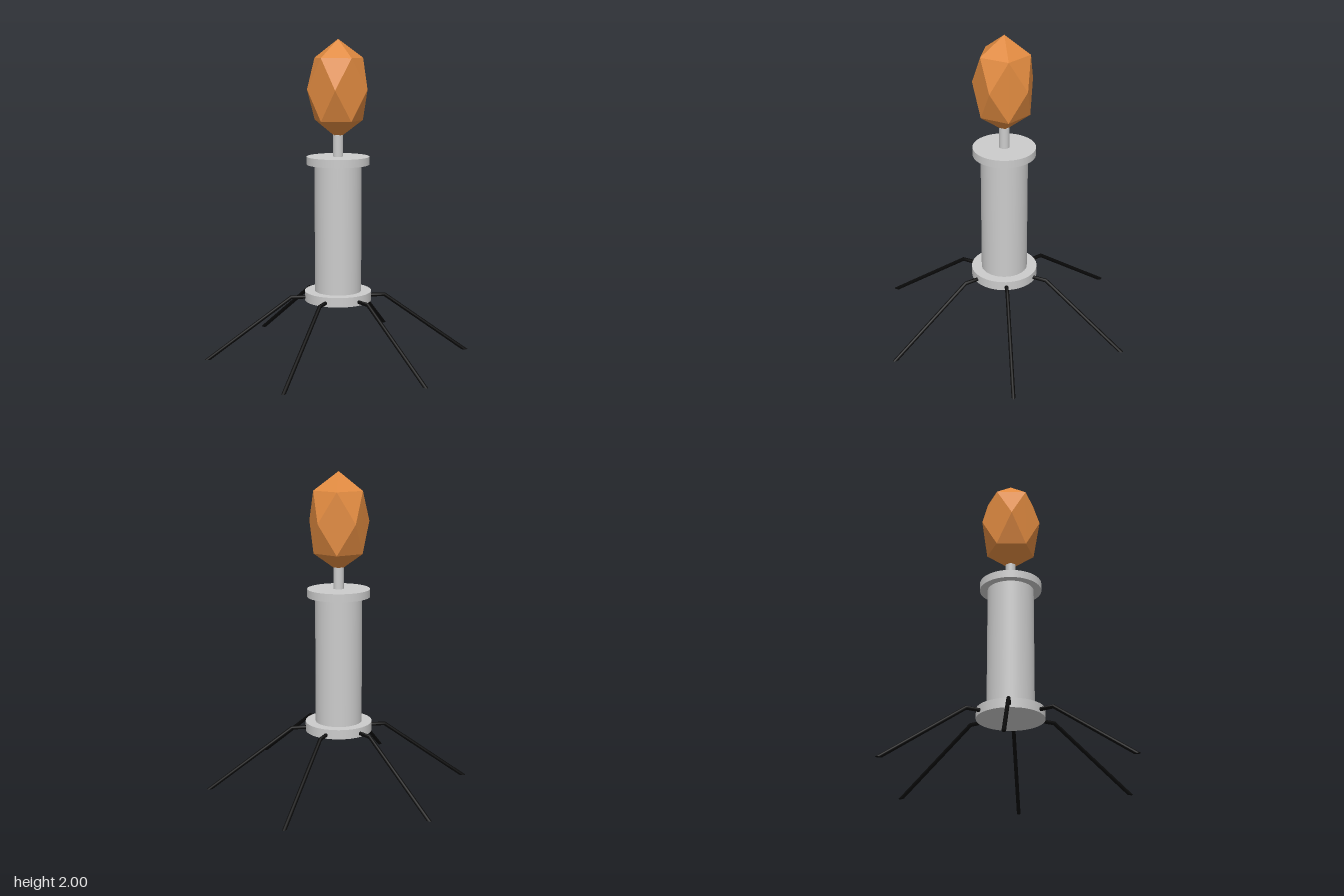
import * as THREE from 'three';
import { ConvexGeometry } from 'three/addons/geometries/ConvexGeometry.js';

const grey = new THREE.MeshStandardMaterial({ color: 0xcccccc });
const black = new THREE.MeshStandardMaterial({ color: 0x0a0a0a });
const orange = new THREE.MeshStandardMaterial({ color: 0xe08a40, flatShading: true });

// Upright cylinder between two heights
function column(name, radius, y0, y1) {
  const mesh = new THREE.Mesh(new THREE.CylinderGeometry(radius, radius, y1 - y0, 48), grey);
  mesh.name = name;
  mesh.position.y = (y0 + y1) / 2;
  return mesh;
}

// Faceted head: two poles, and three rings of five points with the middle one turned half a step
function headGeometry() {
  const points = [new THREE.Vector3(0, 2, 0), new THREE.Vector3(0, 1.385, 0)];
  for (const [radius, y, turn] of [[0.159, 1.885, 0.5], [0.196, 1.693, 0], [0.159, 1.5, 0.5]]) {
    for (let i = 0; i < 5; i++) {
      const a = ((i + turn) * Math.PI * 2) / 5;
      points.push(new THREE.Vector3(radius * Math.cos(a), y, radius * Math.sin(a)));
    }
  }
  return new ConvexGeometry(points);
}

// Bent leg along +x: a cylinder whose rings move to hip, mitred knee and flat foot
function legGeometry() {
  const r = 0.012;
  const hip = new THREE.Vector2(0.19, 0.383);
  const knee = new THREE.Vector2(0.3, 0.383);
  const foot = new THREE.Vector2(0.83, 0);
  const slope = Math.atan2(knee.y - foot.y, foot.x - knee.x);
  const rings = [
    { at: hip, out: 0, up: 1 },
    { at: knee, out: Math.tan(slope / 2), up: 1 },
    { at: foot, out: 1 / Math.sin(slope), up: 0 },
  ];
  const geo = new THREE.CylinderGeometry(1, 1, 2, 12, 2);
  const p = geo.attributes.position;
  for (let i = 0; i < p.count; i++) {
    const { at, out, up } = rings[Math.round(1 - p.getY(i))];
    const v = p.getX(i) * r;
    p.setXYZ(i, at.x + v * out, at.y + v * up, p.getZ(i) * r);
  }
  geo.computeVertexNormals();
  return geo;
}

export function createModel() {
  const model = new THREE.Group();
  model.name = 'leggedCapsule';

  // Stem
  model.add(
    column('basePlate', 0.211, 0.36, 0.42),
    column('tail', 0.147, 0.42, 1.225),
    column('collar', 0.196, 1.225, 1.275),
    column('neck', 0.032, 1.275, 1.41),
  );

  // Head
  const head = new THREE.Mesh(headGeometry(), orange);
  head.name = 'head';
  model.add(head);

  // Six legs, starting at the back, a little under 60 degrees apart
  const legs = new THREE.Group();
  legs.name = 'legs';
  const legGeo = legGeometry();
  for (let i = 0; i < 6; i++) {
    const leg = new THREE.Mesh(legGeo, black);
    leg.name = `leg${i + 1}`;
    leg.rotation.y = -THREE.MathUtils.degToRad(-90 + i * 59.6);
    legs.add(leg);
  }
  model.add(legs);

  return model;
}
